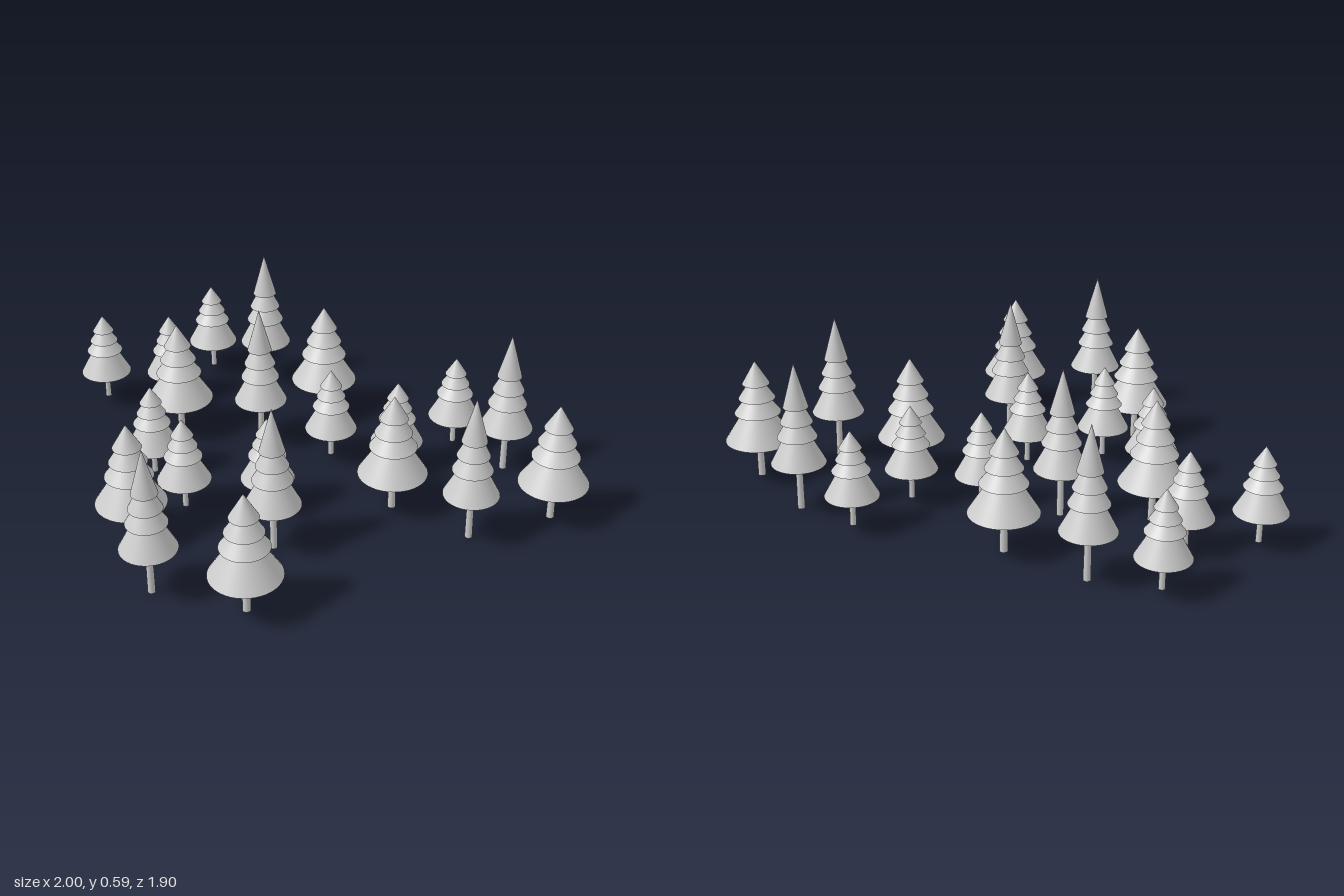
import * as THREE from 'three';

// Tree kinds: each tier is [top y, rim y, top radius, rim radius]
const KINDS = {
  tall: {
    base: 0.005, trunk: 0.014,
    tiers: [[0.593, 0.42, 0, 0.047], [0.42, 0.36, 0.031, 0.061], [0.36, 0.3, 0.04, 0.075], [0.3, 0.195, 0.05, 0.104]],
    spots: [[-0.235, -0.74], [-0.235, -0.255], [0.72, -0.06], [0.55, 0.395], [-0.16, 0.465], [-0.575, 0.725]],
  },
  wide: {
    base: 0, trunk: 0.015,
    tiers: [[0.483, 0.39, 0, 0.053], [0.39, 0.33, 0.032, 0.071], [0.33, 0.27, 0.045, 0.09], [0.27, 0.155, 0.06, 0.132]],
    spots: [[0.015, -0.49], [-0.565, -0.335], [0.275, 0.2], [0.866, 0.26], [-0.675, 0.4], [-0.24, 0.815]],
  },
  small: {
    base: 0.015, trunk: 0.012,
    tiers: [[0.393, 0.325, 0, 0.042], [0.325, 0.28, 0.026, 0.056], [0.28, 0.235, 0.036, 0.072], [0.235, 0.135, 0.048, 0.102]],
    spots: [[-0.47, -0.85], [-0.898, -0.58], [-0.625, -0.58], [0.535, -0.24], [0.045, -0.14], [0.3, -0.05],
      [-0.64, -0.01], [-0.5, 0.22], [-0.19, 0.21]],
  },
};

const material = new THREE.MeshStandardMaterial({ color: 0xcccccc });

// Closed, smooth-sided cone or frustum standing between two heights
function frustum(top, bottom, rTop, rBottom, sides) {
  return new THREE.CylinderGeometry(rTop, rBottom, top - bottom, sides)
    .translate(0, (top + bottom) / 2, 0);
}

function makeTree(kind, { base, trunk, tiers }) {
  const tree = new THREE.Group();
  tree.name = kind + 'Tree';

  // Trunk reaches a little way into the lowest skirt
  const trunkMesh = new THREE.Mesh(frustum(tiers[3][1] + 0.03, base, trunk * 0.9, trunk, 16), material);
  trunkMesh.name = 'trunk';
  tree.add(trunkMesh);

  // Overlapping skirts of foliage, from the tip down
  tiers.forEach((tier, i) => {
    const skirt = new THREE.Mesh(frustum(...tier, 40), material);
    skirt.name = 'foliageTier' + (i + 1);
    tree.add(skirt);
  });
  return tree;
}

export function createModel() {
  const forest = new THREE.Group();
  forest.name = 'forest';
  for (const [kind, spec] of Object.entries(KINDS)) {
    const prototype = makeTree(kind, spec);
    spec.spots.forEach(([x, z], i) => {
      const tree = prototype.clone();
      tree.name = kind + 'Tree' + (i + 1);
      tree.position.set(x, 0, z);
      forest.add(tree);
    });
  }
  return forest;
}
